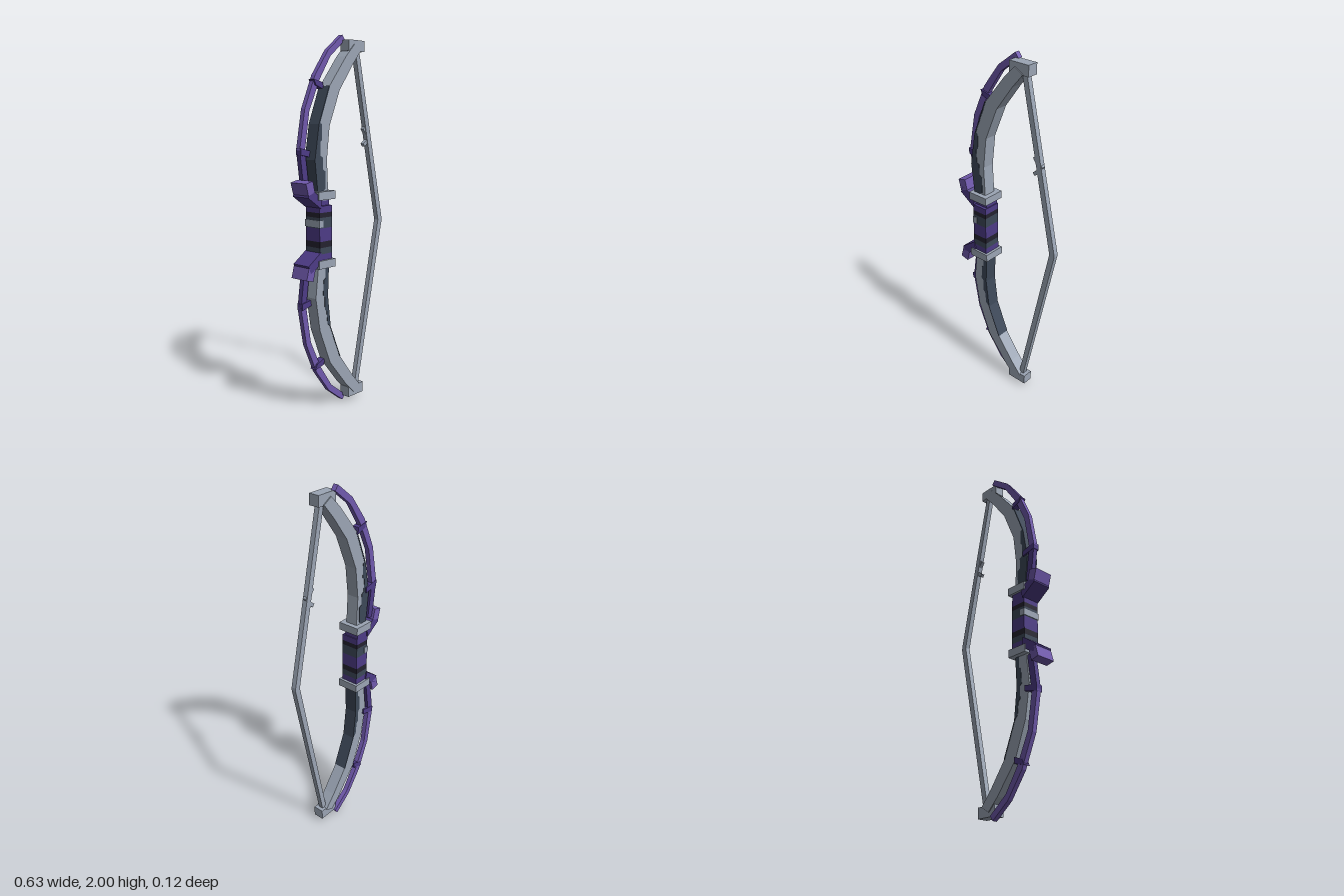
import * as THREE from 'three';

const mat = (name, color) => {
  const m = new THREE.MeshStandardMaterial({ color });
  m.name = name;
  return m;
};

export function createModel() {
  const steel = mat('steel grey', 0x9ba5b4);
  const slate = mat('dark slate', 0x3d4858);
  const violet = mat('violet', 0x7059ad);
  const purple = mat('deep purple', 0x4d3b86);
  const black = mat('near black', 0x24222f);

  const bow = new THREE.Group();
  bow.name = 'bow';

  // Flat outline in x/y pushed through z0..z1; side -1 mirrors it about y = 1
  const plate = (name, material, pts, z0, z1, side = 1) => {
    const shape = new THREE.Shape(pts.map(([x, y]) => new THREE.Vector2(x, 1 + (y - 1) * side)));
    const geo = new THREE.ExtrudeGeometry(shape, { depth: z1 - z0, bevelEnabled: false });
    geo.translate(0, 0, z0);
    const mesh = new THREE.Mesh(geo, material);
    mesh.name = name;
    bow.add(mesh);
    return mesh;
  };
  const box = (name, material, x0, x1, y0, y1, z0, z1, side = 1) =>
    plate(name, material, [[x0, y0], [x1, y0], [x1, y1], [x0, y1]], z0, z1, side);

  // Outer and inner edges of the limb and of the rail, grip to tip
  const limbOuter = [[-0.21, 1.15], [-0.235, 1.36], [-0.205, 1.54], [-0.13, 1.73], [-0.005, 1.885], [0.06, 1.95]];
  const limbInner = [[-0.14, 1.15], [-0.15, 1.36], [-0.13, 1.53], [-0.055, 1.71], [0.045, 1.845], [0.11, 1.92]];
  const railOuter = [[-0.267, 1.21], [-0.294, 1.41], [-0.257, 1.615], [-0.183, 1.785], [-0.087, 1.915], [0.02, 1.998]];
  const railInner = [[-0.23, 1.215], [-0.257, 1.41], [-0.225, 1.605], [-0.15, 1.765], [-0.07, 1.885], [0.04, 1.972]];
  const band = (outer, inner) => [...outer, ...[...inner].reverse()];

  for (const side of [1, -1]) {
    const pre = side > 0 ? 'upper' : 'lower';
    plate(pre + 'Limb', steel, band(limbOuter, limbInner), -0.035, 0.035, side);
    box(pre + 'Tip', steel, 0.022, 0.142, 1.915, 1.972, -0.03, 0.03, side);
    box(pre + 'Clamp', steel, -0.235, -0.115, 1.157, 1.2, -0.063, 0.062, side);

    // String, bent at the nocking point
    plate(pre + 'String', steel, [[0.087, 1.93], [0.117, 1.93], [0.315, 1.01], [0.315, 1], [0.284, 1]],
      -0.014, 0.014, side);

    // Rail along the outer edge, darker near the grip
    plate(pre + 'RailBase', purple, band(railOuter.slice(0, 2), railInner.slice(0, 2)), -0.042, -0.015, side);
    plate(pre + 'Rail', violet, band(railOuter.slice(1), railInner.slice(1)), -0.042, -0.015, side);

    // Struts joining the rail to the limb
    plate(pre + 'OuterStrut', purple, [[-0.2, 1.765], [-0.185, 1.735], [-0.13, 1.715], [-0.135, 1.75]],
      -0.044, -0.006, side);
    plate(pre + 'InnerStrut', purple, [[-0.293, 1.42], [-0.293, 1.385], [-0.21, 1.37], [-0.21, 1.4]],
      -0.044, -0.006, side);

    // Guard hook beside the grip
    plate(pre + 'HookArm', purple,
      [[-0.305, 1.175], [-0.215, 1.113], [-0.205, 1.165], [-0.257, 1.2], [-0.29, 1.215]], -0.057, 0.055, side);
    plate(pre + 'HookHorn', violet,
      [[-0.32, 1.247], [-0.272, 1.258], [-0.257, 1.2], [-0.29, 1.19], [-0.303, 1.185]], -0.057, 0.055, side);
  }

  // Ragged dark wear on the outer half of the upper limb
  plate('upperDarkPatch', slate, [
    [-0.215, 1.16], [-0.238, 1.36], [-0.208, 1.54], [-0.133, 1.732], [-0.128, 1.728], [-0.2, 1.545],
    [-0.187, 1.54], [-0.187, 1.46], [-0.2, 1.45], [-0.197, 1.38], [-0.18, 1.37], [-0.18, 1.31],
    [-0.163, 1.3], [-0.163, 1.21], [-0.18, 1.2], [-0.18, 1.16],
  ], -0.037, 0.037);

  // Ragged dark wear on the inner half of the lower limb
  plate('lowerDarkPatch', slate, [
    [-0.137, 0.85], [-0.147, 0.64], [-0.127, 0.47], [-0.052, 0.288], [-0.057, 0.288], [-0.133, 0.475],
    [-0.15, 0.49], [-0.157, 0.56], [-0.17, 0.57], [-0.17, 0.64], [-0.182, 0.65], [-0.178, 0.73],
    [-0.165, 0.74], [-0.165, 0.85],
  ], -0.037, 0.037);

  // Wrapped grip, band by band from top to bottom
  const bands = [
    [1.125, 1.09, purple], [1.09, 1.065, black], [1.065, 1.01, slate], [1.01, 0.94, purple],
    [0.94, 0.908, black], [0.908, 0.875, slate], [0.875, 0.84, purple],
  ];
  bands.forEach(([top, bottom, m], i) =>
    box('gripBand' + (i + 1), m, -0.22, -0.13, bottom, top, -0.05, 0.05));
  box('gripNeck', purple, -0.215, -0.135, 1.125, 1.16, -0.05, 0.034);
  box('gripWear', steel, -0.223, -0.195, 1.015, 1.05, -0.053, 0.053);

  // Small nock pieces on the upper string
  plate('stringNockUpper', steel, [[0.16, 1.51], [0.172, 1.52], [0.222, 1.475], [0.212, 1.455], [0.19, 1.47]],
    -0.01, 0.01);
  plate('stringNockLower', steel, [[0.16, 1.43], [0.172, 1.415], [0.215, 1.445], [0.2, 1.46]], -0.01, 0.01);

  return bow;
}
